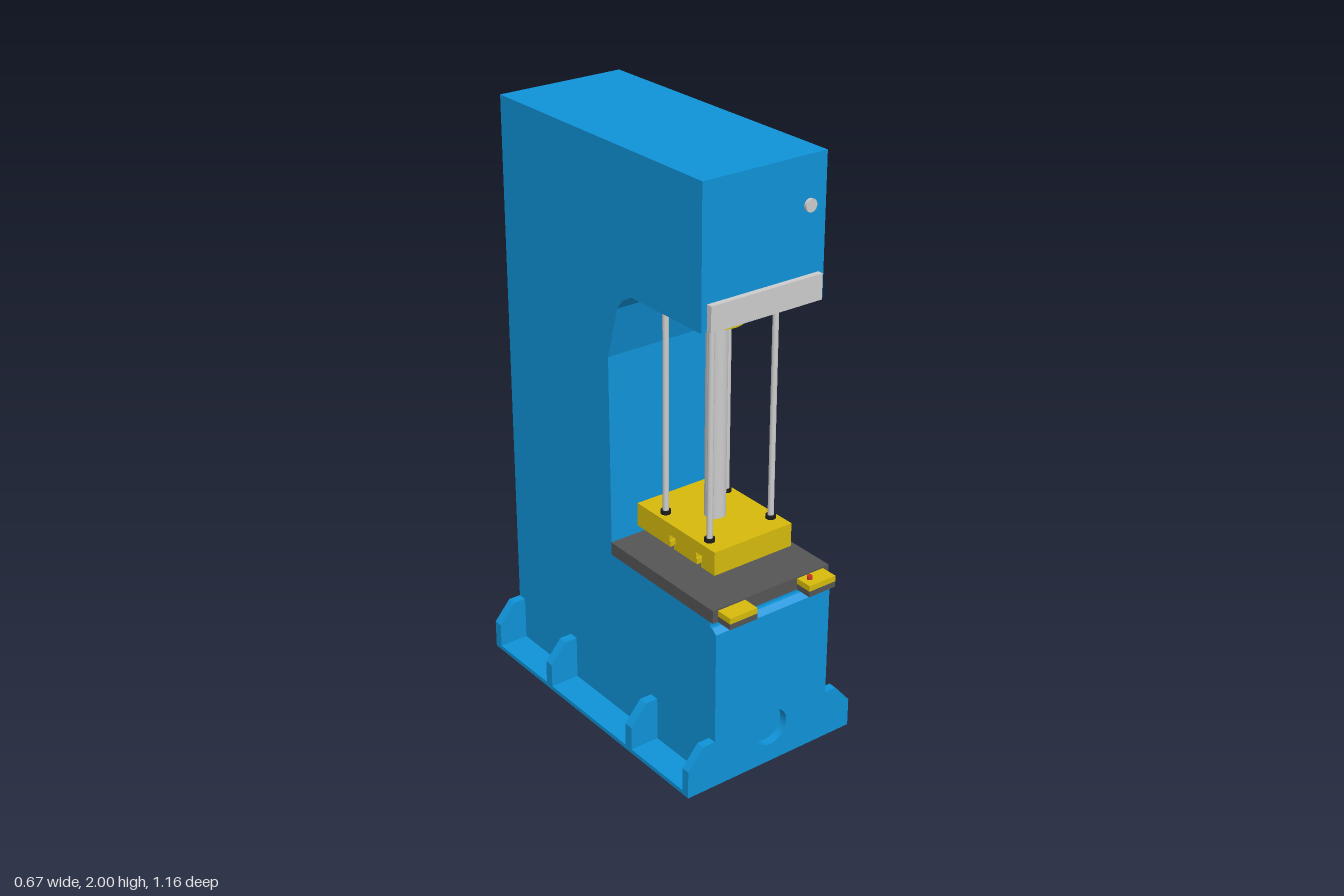
import * as THREE from 'three';

const paint = (color) => new THREE.MeshStandardMaterial({ color });

export function createModel() {
  const press = new THREE.Group();
  press.name = 'press';
  const blue = paint(0x0f93d8), yellow = paint(0xd6ba0c), dark = paint(0x555555);
  const grey = paint(0xcccccc), black = paint(0x1c1c1c), red = paint(0xcc3322);

  const add = (name, geometry, material) => {
    const mesh = new THREE.Mesh(geometry, material);
    mesh.name = name;
    press.add(mesh);
    return mesh;
  };
  // Box given by its minimum and maximum on each axis
  const box = (name, mat, x0, x1, y0, y1, z0, z1) =>
    add(name, new THREE.BoxGeometry(x1 - x0, y1 - y0, z1 - z0), mat)
      .position.set((x0 + x1) / 2, (y0 + y1) / 2, (z0 + z1) / 2);
  // Upright cylinder between two heights
  const post = (name, mat, r, x, z, y0, y1, sides = 32) =>
    add(name, new THREE.CylinderGeometry(r, r, y1 - y0, sides), mat)
      .position.set(x, (y0 + y1) / 2, z);
  const outline = (points) => new THREE.Shape(points.map(([a, b]) => new THREE.Vector2(a, b)));
  const extrude = (shape, depth) =>
    new THREE.ExtrudeGeometry(shape, { depth, bevelEnabled: false, curveSegments: 24 });
  // Side profile of (z, y) points, extruded across x from x0 to x1
  const across = (points, x0, x1) =>
    extrude(outline(points), x1 - x0).rotateY(-Math.PI / 2).translate(x1, 0, 0);

  // C-shaped frame with a rounded throat
  add('frame', across([
    [-0.58, 0.015], [0.505, 0.015], [0.505, 0.6], [-0.01, 0.6], [-0.015, 1.3],
    [0.037, 1.48], [0.065, 1.515], [0.11, 1.54], [0.45, 1.54], [0.45, 2], [-0.58, 2],
  ], -0.23, 0.23), blue);

  // Base flange and front panel with a round recess
  box('baseFlange', blue, -0.335, 0.335, 0, 0.015, -0.58, 0.535);
  const panel = outline([
    [-0.335, 0.015], [0.335, 0.015], [0.335, 0.1], [0.275, 0.17], [0.23, 0.17], [0.23, 0.565],
    [-0.23, 0.565], [-0.23, 0.17], [-0.275, 0.17], [-0.335, 0.1],
  ]);
  panel.holes.push(new THREE.Path().absarc(0, 0.13, 0.065, 0, Math.PI * 2, true));
  add('frontPanel', extrude(panel, 0.03).translate(0, 0, 0.505), blue);
  // Sloped lip above the front panel
  add('frontLip', across([[0.505, 0.565], [0.535, 0.565], [0.515, 0.58], [0.505, 0.58]], -0.23, 0.23), blue);

  // Foot gussets on both sides
  for (const s of [-1, 1]) {
    const gusset = outline([[0.23, 0.015], [0.335, 0.015], [0.335, 0.1], [0.275, 0.17], [0.23, 0.17]]
      .map(([x, y]) => [s * x, y]));
    for (const z of [-0.58, -0.26, 0.2]) {
      add('footGusset', extrude(gusset, 0.033).translate(0, 0, z), blue);
    }
  }

  // Work table with clamps at its front edge
  box('table', dark, -0.232, 0.235, 0.6, 0.645, -0.01, 0.52);
  for (const s of [-1, 1]) {
    const x0 = s < 0 ? -0.212 : 0.105, x1 = s < 0 ? -0.105 : 0.212;
    box('clampBracket', dark, x0, x1, 0.6, 0.62, 0.52, 0.58);
    box('clamp', yellow, x0, x1, 0.62, 0.64, 0.515, 0.58);
  }
  post('startButton', red, 0.009, 0.135, 0.545, 0.64, 0.652, 16);
  for (const z of [0.15, 0.36]) box('tableScrew', black, 0.23, 0.238, 0.632, 0.642, z - 0.004, z + 0.004);

  // Sliding platen with two T-slots in its underside
  const slot = (z) => [
    [z - 0.01, 0.7], [z - 0.01, 0.72], [z - 0.016, 0.72], [z - 0.016, 0.742],
    [z + 0.016, 0.742], [z + 0.016, 0.72], [z + 0.01, 0.72], [z + 0.01, 0.7],
  ];
  add('platen', across([
    [0.03, 0.7], ...slot(0.215), ...slot(0.352), [0.43, 0.7], [0.43, 0.782], [0.03, 0.782],
  ], -0.155, 0.153), yellow);

  // Main ram and its stepped flange
  post('ram', grey, 0.035, 0, 0.235, 0.782, 1.46);
  post('flangeLower', yellow, 0.088, 0, 0.235, 1.455, 1.5, 40);
  post('flangeUpper', yellow, 0.11, 0, 0.235, 1.5, 1.54, 40);

  // Four guide rods with collars and nuts
  for (const x of [-0.122, 0.124]) for (const z of [0.137, 0.362]) {
    post('guideRod', grey, 0.01, x, z, 0.782, 1.53, 20);
    post('rodCollar', yellow, 0.034, x, z, 1.527, 1.54);
    post('rodNut', black, 0.017, x, z, 0.782, 0.794, 16);
  }

  // Head details
  box('headPlate', grey, -0.21, 0.21, 1.543, 1.627, 0.45, 0.47);
  const knob = add('headKnob', new THREE.CylinderGeometry(0.021, 0.021, 0.01, 24).rotateX(Math.PI / 2), grey);
  knob.position.set(0.167, 1.845, 0.455);

  return press;
}
